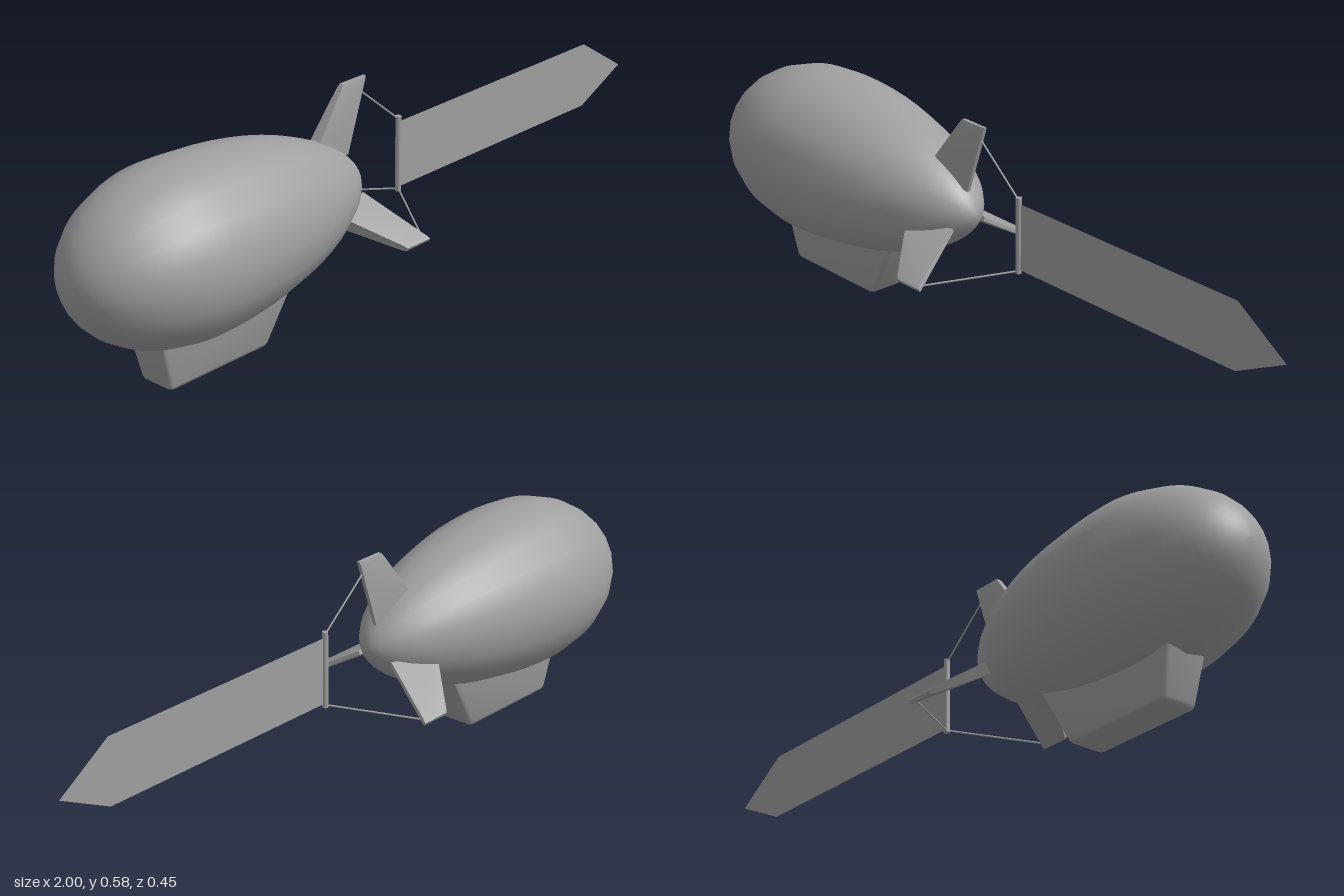
import * as THREE from 'three';
import { toCreasedNormals } from 'three/addons/utils/BufferGeometryUtils.js';
import { ConvexGeometry } from 'three/addons/geometries/ConvexGeometry.js';

const AXIS_Y = 0.328; // height of the hull's long axis

export function createModel() {
  const model = new THREE.Group();
  model.name = 'airshipWithBanner';
  const grey = new THREE.MeshStandardMaterial({ color: 0xa0a0a0 });
  grey.name = 'grey';
  const greySheet = grey.clone(); // same colour, for the open banner sheet
  greySheet.side = THREE.DoubleSide;

  const add = (name, geometry, material = grey, parent = model) => {
    const mesh = new THREE.Mesh(geometry, material);
    mesh.name = name;
    parent.add(mesh);
    return mesh;
  };
  const v = (x, y, z) => new THREE.Vector3(x, y, z);

  // Rod between two points
  const rod = (name, a, b, radius, sides) => {
    const dir = b.clone().sub(a);
    const mesh = add(name, new THREE.CylinderGeometry(radius, radius, dir.length(), sides));
    mesh.position.copy(a).add(b).multiplyScalar(0.5);
    mesh.quaternion.setFromUnitVectors(v(0, 1, 0), dir.normalize());
    return mesh;
  };

  // Hull: blunt nose, long tapering tail, turned around the x axis
  const profile = [];
  const steps = 32, widest = -0.67, radius = 0.224;
  for (let i = 0; i <= steps; i++) {
    const c = -Math.cos((i / steps) * Math.PI);
    const r = radius * Math.pow(Math.max(0, 1 - c * c), c < 0 ? 0.5 : 0.6);
    profile.push(new THREE.Vector2(r, widest + c * (c < 0 ? 0.33 : 0.6)));
  }
  const hull = add('hull', new THREE.LatheGeometry(profile, 20).rotateZ(-Math.PI / 2));
  hull.position.y = AXIS_Y;

  // Gondola: tapered box with rounded edges, its top sunk into the hull
  const gondolaPoints = [];
  const ring = (y, x0, x1, hz, r) => {
    for (const [cx, cz, start] of [[x1 - r, hz - r, 0], [x0 + r, hz - r, 1], [x0 + r, r - hz, 2], [x1 - r, r - hz, 3]]) {
      for (let i = 0; i <= 3; i++) {
        const a = (start + i / 3) * Math.PI / 2;
        gondolaPoints.push(v(cx + r * Math.cos(a), y, cz + r * Math.sin(a)));
      }
    }
  };
  ring(0, -0.745, -0.442, 0.042, 0.006);
  ring(0.004, -0.753, -0.433, 0.049, 0.01);
  ring(0.012, -0.757, -0.426, 0.052, 0.012);
  ring(0.17, -0.795, -0.336, 0.064, 0.012);
  add('gondola', toCreasedNormals(new ConvexGeometry(gondolaPoints), 0.7));

  // Tail fins: swept wedges, thick at the leading edge, spaced evenly round the tail
  const finCorners = [
    [-0.228, 0.1, 0.018], [-0.095, 0.06, 0.005], // root
    [-0.12, 0.243, 0.008], [-0.034, 0.243, 0.006], // shoulder of the tip
    [-0.113, 0.252, 0.005], [-0.03, 0.252, 0.004], // tip
  ];
  const finPoints = finCorners.flatMap(([x, y, h]) => [v(x, y, h), v(x, y, -h)]);
  const finGeometry = toCreasedNormals(new ConvexGeometry(finPoints), 0.4);
  ['topFin', 'leftFin', 'rightFin'].forEach((name, i) => {
    const fin = add(name, finGeometry);
    fin.position.y = AXIS_Y;
    fin.rotation.x = (i * Math.PI * 2) / 3;
  });

  // Banner pole and the tow lines running to it from the fins
  const poleX = 0.095;
  rod('bannerPole', v(poleX, 0.228, 0), v(poleX, 0.433, 0), 0.008, 12);
  rod('topTowLine', v(-0.045, 0.542, 0), v(poleX, 0.425, 0), 0.0025, 6);
  for (const s of [1, -1]) {
    rod('lowerTowLine', v(-0.04, 0.208, s * 0.202), v(poleX, 0.234, 0), 0.0025, 6);
  }

  // Banner: flat sheet with a pointed end
  const banner = new THREE.Shape([
    [poleX, 0.238], [0.842, 0.238], [1, 0.314], [0.842, 0.417], [poleX, 0.417],
  ].map(([x, y]) => new THREE.Vector2(x, y)));
  add('banner', new THREE.ShapeGeometry(banner), greySheet);

  return model;
}
